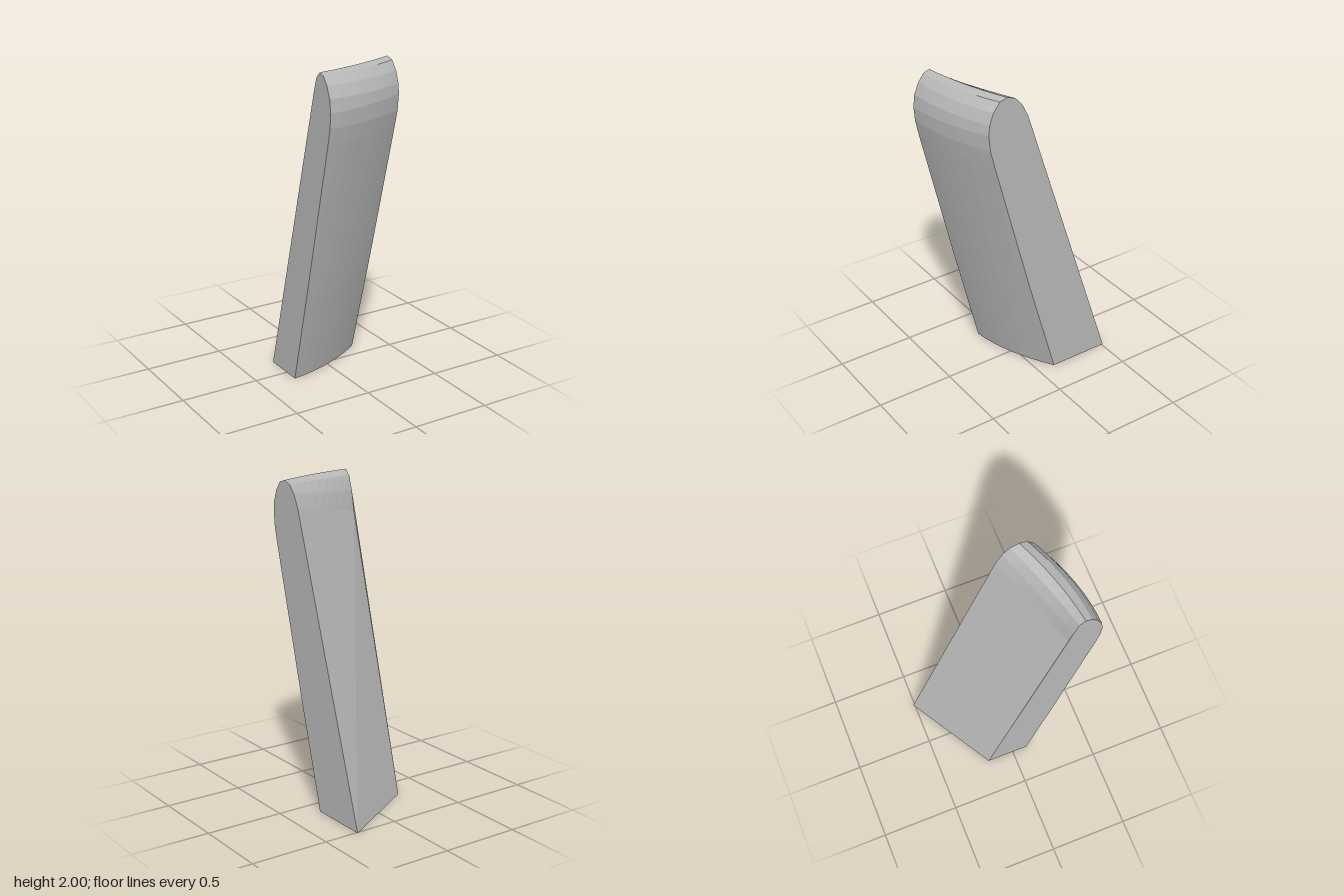
import * as THREE from 'three';

// Side outlines as [z, y]: up the back, over the rounded tip, down the front
const LEFT = [[-0.51, 0], [0.10, 1.85], [0.14, 1.93], [0.185, 1.98], [0.24, 2], [0.29, 1.985], [0.333, 1.93],
  [0.358, 1.86], [0.365, 1.8], [0.355, 1.7], [0.33, 1.6], [0.08, 0.68], [-0.115, 0]];
const RIGHT = [[-0.175, 0], [0.315, 1.75], [0.335, 1.87], [0.365, 1.965], [0.40, 2], [0.44, 1.985], [0.475, 1.94],
  [0.505, 1.87], [0.515, 1.79], [0.508, 1.7], [0.487, 1.6], [0.268, 0.68], [0.10, 0]];
// How far each outline point takes part in the bulge of the front
const BULGE = [0, 0, 0.1, 0.3, 0.6, 0.8, 0.9, 1, 1, 1, 1, 1.05, 1.1];
const HALF = 0.28, COLUMNS = 8;

// Outline point i at t (0 = right side, 1 = left side)
function point(i, t) {
  const bulge = 0.035 * 4 * t * (1 - t) * BULGE[i];
  return [
    THREE.MathUtils.lerp(-HALF, HALF, t),
    THREE.MathUtils.lerp(RIGHT[i][1], LEFT[i][1], t),
    THREE.MathUtils.lerp(RIGHT[i][0], LEFT[i][0], t) + bulge,
  ];
}

// Separate triangles give crisp facets
function facets(triangles) {
  const geometry = new THREE.BufferGeometry();
  geometry.setAttribute('position', new THREE.Float32BufferAttribute(triangles.flat(2), 3));
  geometry.computeVertexNormals();
  return geometry;
}

// Strip from outline point i to j, across the width in the given number of columns
function strip(i, j, columns) {
  const out = [];
  for (let c = 0; c < columns; c++) {
    const a = c / columns, b = (c + 1) / columns;
    out.push([point(j, b), point(i, b), point(j, a)], [point(i, b), point(i, a), point(j, a)]);
  }
  return out;
}

export function createModel() {
  const group = new THREE.Group();
  group.name = 'leaningBlade';
  const grey = new THREE.MeshStandardMaterial({ color: 0xb8b8b8 });
  grey.name = 'grey';
  const add = (name, triangles) => {
    const mesh = new THREE.Mesh(facets(triangles), grey);
    mesh.name = name;
    group.add(mesh);
  };

  const last = LEFT.length - 1;

  // Back: two flat triangles
  add('back', strip(0, 1, 1));

  // Rounded tip and bulging front
  const front = [];
  for (let i = 1; i < last; i++) front.push(...strip(i, i + 1, COLUMNS));
  add('tipAndFront', front);

  // Base
  add('base', strip(last, 0, COLUMNS));

  // Flat sides
  const left = [], right = [];
  for (let i = 1; i < last; i++) {
    left.push([point(0, 1), point(i, 1), point(i + 1, 1)]);
    right.push([point(0, 0), point(i + 1, 0), point(i, 0)]);
  }
  add('leftSide', left);
  add('rightSide', right);
  return group;
}
